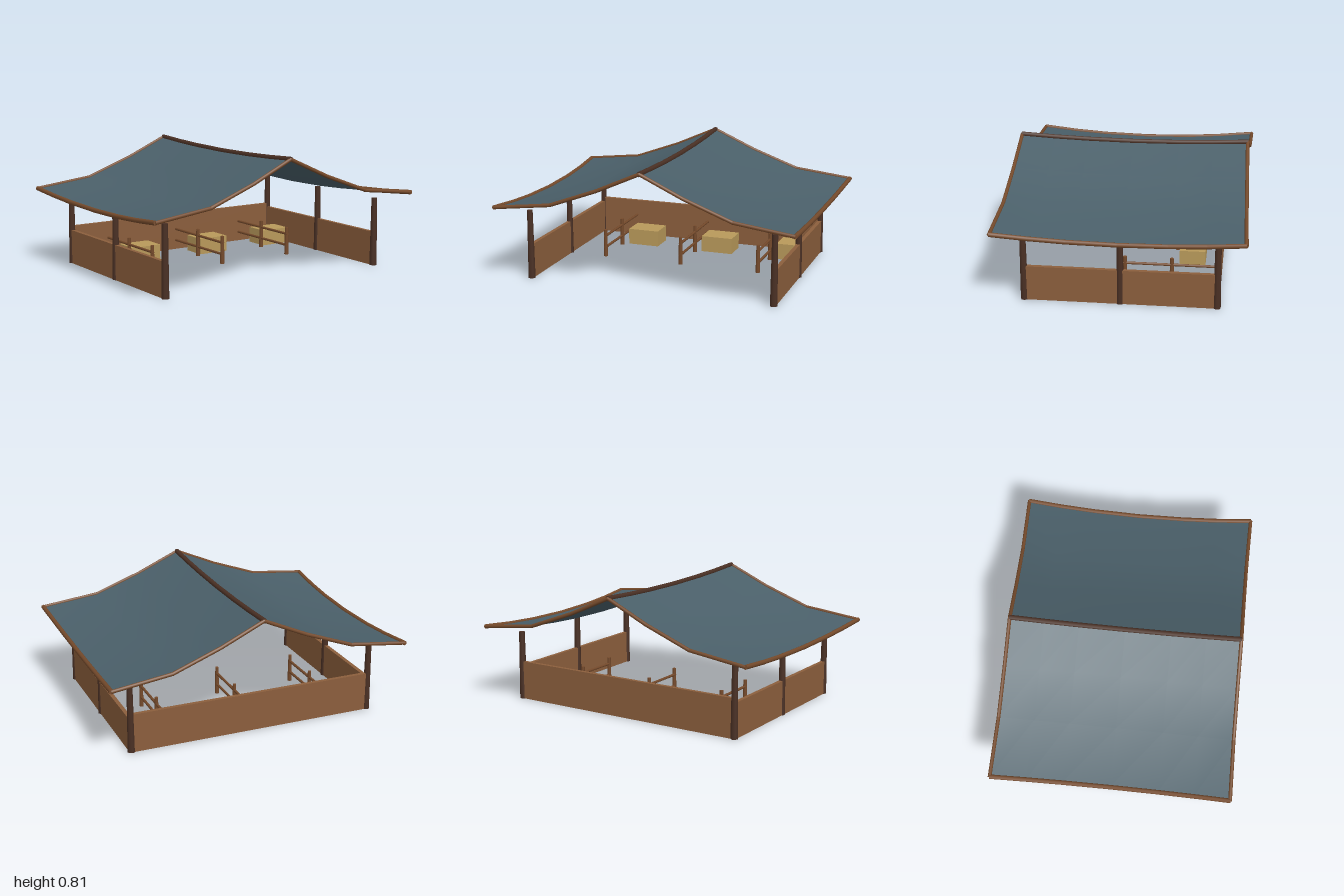
import * as THREE from 'three';

const mat = (name, color, opts = {}) => {
  const m = new THREE.MeshStandardMaterial({ color, ...opts });
  m.name = name;
  return m;
};

export function createModel() {
  const root = new THREE.Group();
  root.name = 'openStable';

  const slate = mat('slateCloth', 0x4a5f69, { side: THREE.DoubleSide });
  const plank = mat('plankBrown', 0x8b5e3c);
  const trim = mat('trimBrown', 0x754a2b);
  const dark = mat('darkTimber', 0x4a3024);
  const straw = mat('straw', 0xb8995a);

  const add = (name, geo, material, x = 0, y = 0, z = 0) => {
    const mesh = new THREE.Mesh(geo, material);
    mesh.name = name;
    mesh.position.set(x, y, z);
    root.add(mesh);
    return mesh;
  };

  // Round pole from point a to point b
  const pole = (name, a, b, r, material) => {
    const dir = b.clone().sub(a);
    const mesh = add(name, new THREE.CylinderGeometry(r, r, dir.length() + r * 0.4, 8), material);
    mesh.position.copy(a).add(b).multiplyScalar(0.5);
    mesh.quaternion.setFromUnitVectors(new THREE.Vector3(0, 1, 0), dir.normalize());
  };
  const chain = (name, pts, r, material) => {
    for (let i = 1; i < pts.length; i++) pole(name, pts[i - 1], pts[i], r, material);
  };

  // Sagging roof: s runs ridge to eave, t runs back (-1) to front (1)
  const profile = [[0, 0.793], [0.285, 0.665], [0.6, 0.549], [0.985, 0.503]];
  const steps = [-1, -0.7, -0.4, 0, 0.4, 0.7, 1];
  const roofPoint = (side, i, t) => {
    const [x, y] = profile[i];
    const s = x / 0.985;
    const sag = 1 - t * t;
    return new THREE.Vector3(
      side * (x - 0.02 * s * sag),
      y - sag * (0.023 + 0.018 * s),
      t * (0.746 + 0.022 * s));
  };

  for (const side of [-1, 1]) {
    const pos = [], idx = [];
    const n = steps.length;
    profile.forEach((_, i) => steps.forEach((t) => pos.push(...roofPoint(side, i, t).toArray())));
    for (let i = 0; i < profile.length - 1; i++) {
      for (let j = 0; j < n - 1; j++) {
        const a = i * n + j, b = a + 1, c = a + n, d = c + 1;
        if (side > 0) idx.push(a, b, c, b, d, c);
        else idx.push(a, c, b, b, c, d);
      }
    }
    const geo = new THREE.BufferGeometry();
    geo.setAttribute('position', new THREE.Float32BufferAttribute(pos, 3));
    geo.setIndex(idx);
    geo.computeVertexNormals();
    add('roofSlope', geo, slate);

    // Edge poles along gables and eave
    for (const t of [-1, 1]) {
      chain('gableTrim', profile.map((_, i) => roofPoint(side, i, t)), 0.012, trim);
    }
    chain('eaveTrim', steps.map((t) => roofPoint(side, 3, t)), 0.015, trim);
  }
  chain('ridgePole', steps.map((t) => roofPoint(1, 0, t)), 0.017, dark);

  // Side posts and walls
  for (const x of [-0.82, 0.82]) {
    for (const z of [-0.6, 0, 0.6]) {
      add('roofPost', new THREE.CylinderGeometry(0.019, 0.024, 0.457, 8), dark, x, 0.2285, z);
    }
    add('sideWall', new THREE.BoxGeometry(0.026, 0.228, 1.18), plank, x, 0.114, 0);
  }
  add('backWall', new THREE.BoxGeometry(1.62, 0.255, 0.026), plank, 0, 0.1275, -0.6);

  // Stall dividers, each with a straw bale beside it
  for (const x of [-0.55, 0, 0.545]) {
    for (const z of [0, -0.3]) {
      add('dividerPost', new THREE.CylinderGeometry(0.012, 0.015, 0.19, 8), trim, x, 0.095, z);
    }
    for (const y of [0.065, 0.145]) {
      pole('dividerRail', new THREE.Vector3(x, y, 0.01), new THREE.Vector3(x, y, -0.59), 0.009, trim);
    }
    add('strawBale', new THREE.BoxGeometry(0.22, 0.11, 0.17), straw, x + 0.15, 0.055, -0.415);
  }
  return root;
}
